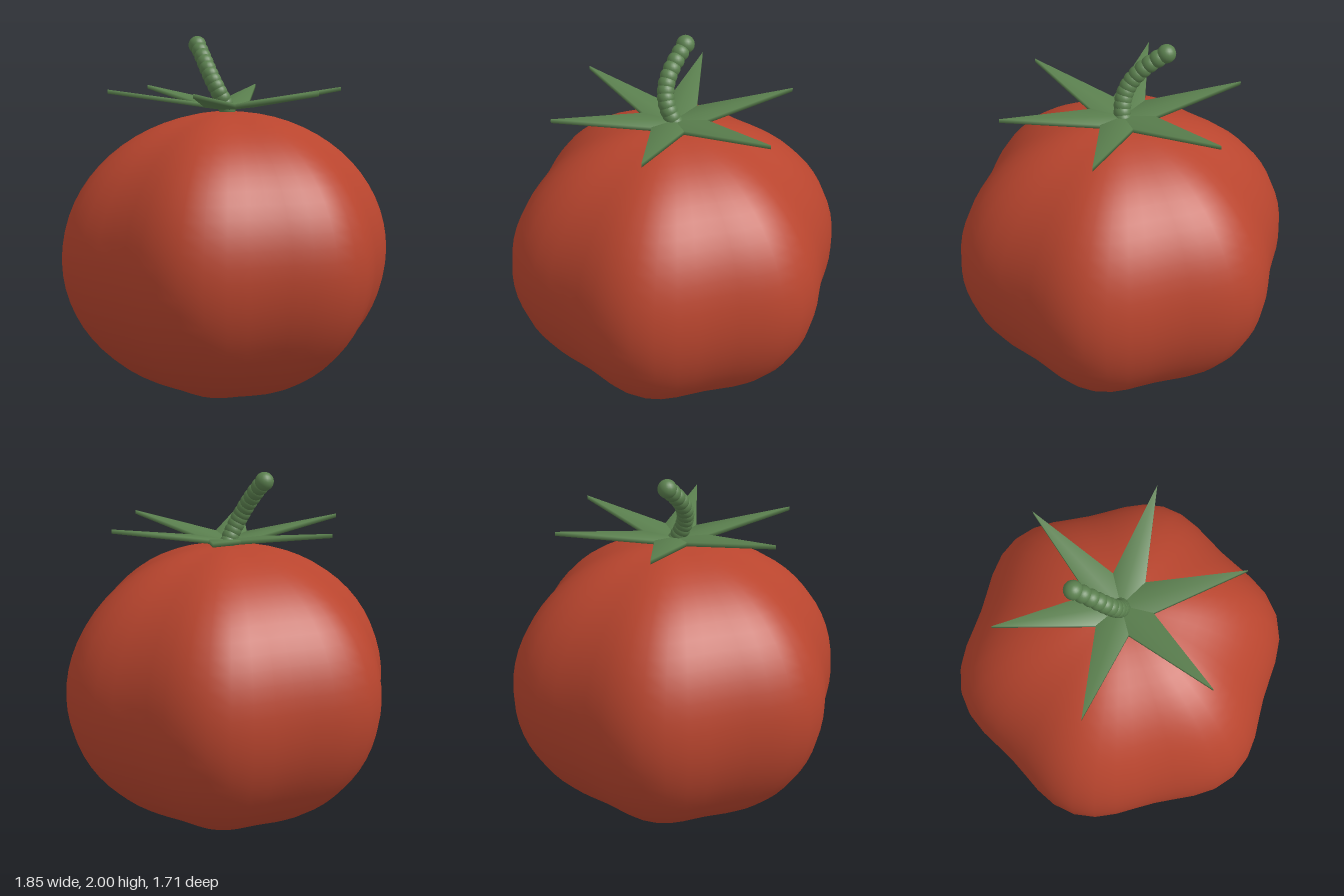
import * as THREE from 'three';
import { mergeVertices } from 'three/addons/utils/BufferGeometryUtils.js';

// Sphere pushed out into six soft lobes
function fruitGeometry() {
  const geo = new THREE.SphereGeometry(1, 48, 32);
  geo.deleteAttribute('uv');
  geo.deleteAttribute('normal');
  const p = geo.attributes.position;
  for (let i = 0; i < p.count; i++) {
    const x = p.getX(i), z = p.getZ(i);
    const r = 0.884 + 0.041 * Math.cos(6 * Math.atan2(z, x));
    p.setXYZ(i, x * r, p.getY(i) * 0.793, z * r);
  }
  const merged = mergeVertices(geo, 1e-4);
  merged.computeVertexNormals();
  return merged;
}

// Thin kite-shaped leaf along +x, rising to its tip, with shared corners for soft shading
function sepalGeometry() {
  const outline = [[0, 0], [0.14, 0.088], [0.662, 0], [0.14, -0.088]];
  const pos = [];
  for (const lift of [0.022, 0]) {
    for (const [x, z] of outline) pos.push(x, lift + x * 0.15, z);
  }
  const index = [0, 1, 2, 0, 2, 3, 4, 6, 5, 4, 7, 6];
  for (let i = 0; i < 4; i++) {
    const j = (i + 1) % 4;
    index.push(i, i + 4, j, j, i + 4, j + 4);
  }
  const geo = new THREE.BufferGeometry();
  geo.setAttribute('position', new THREE.Float32BufferAttribute(pos, 3));
  geo.setIndex(index);
  geo.computeVertexNormals();
  return geo;
}

export function createModel() {
  const red = new THREE.MeshStandardMaterial({ name: 'tomatoRed', color: 0xb9452e });
  const green = new THREE.MeshStandardMaterial({ name: 'leafGreen', color: 0x5a7f4e });
  green.side = THREE.DoubleSide;

  const model = new THREE.Group();
  model.name = 'tomato';

  const fruit = new THREE.Mesh(fruitGeometry(), red);
  fruit.name = 'fruit';
  fruit.position.y = 0.797;
  model.add(fruit);

  // Star of six leaves
  const calyx = new THREE.Group();
  calyx.name = 'calyx';
  calyx.position.y = 1.595;
  const leaf = sepalGeometry();
  for (let i = 0; i < 6; i++) {
    const sepal = new THREE.Mesh(leaf, green);
    sepal.name = 'sepal';
    sepal.rotation.y = (i * Math.PI) / 3;
    calyx.add(sepal);
  }
  model.add(calyx);

  // Bent stem made of a chain of beads
  const stem = new THREE.Group();
  stem.name = 'stem';
  const bead = new THREE.SphereGeometry(0.05, 20, 14);
  const count = 12;
  for (let i = 0; i < count; i++) {
    const t = i / (count - 1);
    const mesh = new THREE.Mesh(bead, green);
    mesh.name = 'stemBead';
    mesh.position.set(-0.236 * t * t, 1.6 + 0.35 * t, 0.062 * Math.sin(Math.PI * t));
    mesh.scale.setScalar(i === count - 1 ? 1 : 0.94);
    stem.add(mesh);
  }
  model.add(stem);

  return model;
}
